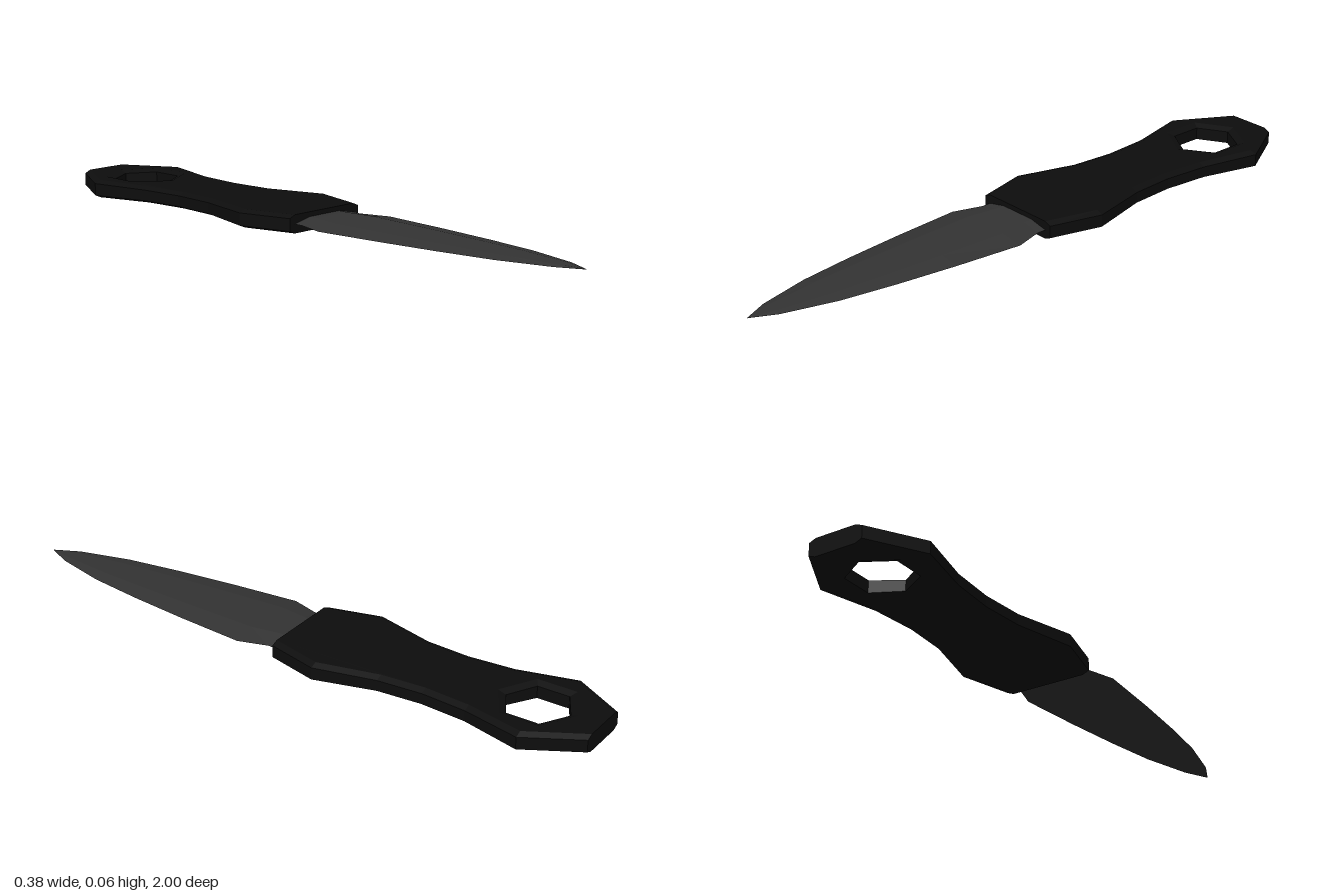
import * as THREE from 'three';

const MID = 0.0285; // height of the middle plane

function meshFrom(positions, color, name) {
  const geo = new THREE.BufferGeometry();
  geo.setAttribute('position', new THREE.Float32BufferAttribute(positions, 3));
  geo.computeVertexNormals();
  const mesh = new THREE.Mesh(geo, new THREE.MeshStandardMaterial({ color, flatShading: true }));
  mesh.name = name;
  return mesh;
}

// Join two matching rings of [x, y, z] with quads
function bridge(out, low, high) {
  low.forEach((a, i) => {
    const j = (i + 1) % low.length;
    out.push(...a, ...high[i], ...low[j], ...low[j], ...high[i], ...high[j]);
  });
}

// Flat handle: waisted outline, chamfered long sides, hexagonal hole
function makeHandle() {
  const half = [[0.09, -1], [0.188, -0.83], [0.143, -0.64], [0.131, -0.49],
    [0.141, -0.345], [0.191, -0.15], [0.147, 0.02]];
  const outline = (inset) => [
    ...half.map(([x, z]) => new THREE.Vector2(x - inset, z)),
    ...half.slice().reverse().map(([x, z]) => new THREE.Vector2(inset - x, z)),
  ];
  const hexagon = (r) => Array.from({ length: 6 }, (_, i) => {
    const a = -i * Math.PI / 3;
    return new THREE.Vector2(Math.sin(a) * r, -0.795 - Math.cos(a) * r).setX(-Math.sin(a) * r);
  });
  // The grip is slightly thinner at the waist
  const halfThickness = (z) => (z > -0.7 && z < -0.3 ? 0.0262 : MID);
  const place = (pts, side, drop) => pts.map((p) => [p.x, MID + side * (halfThickness(p.y) - drop), p.y]);

  const out = [];
  const wall = (face, body) => {
    const rings = [place(face, -1, 0), place(body, -1, 0.009), place(body, 1, 0.009), place(face, 1, 0)];
    for (let i = 0; i < 3; i++) bridge(out, rings[i], rings[i + 1]);
  };
  const face = outline(0.022);
  const rim = hexagon(0.13);
  if (THREE.ShapeUtils.isClockWise(rim) === false) rim.reverse();
  const bore = hexagon(0.104);
  if (THREE.ShapeUtils.isClockWise(bore) === false) bore.reverse();
  wall(face, outline(0));
  wall(rim, bore);

  // Top and bottom faces
  const tris = THREE.ShapeUtils.triangulateShape(face, [rim]);
  const all = [...face, ...rim];
  const top = place(all, 1, 0);
  const bottom = place(all, -1, 0);
  for (const [a, b, c] of tris) {
    out.push(...bottom[a], ...bottom[b], ...bottom[c]);
    out.push(...top[a], ...top[c], ...top[b]);
  }
  return meshFrom(out, 0x0d0d0d, 'handle');
}

// Double-edged blade lofted from six-sided sections: z, half width, half thickness
function makeBlade() {
  const sections = [[-0.05, 0.128, 0.014], [0.05, 0.126, 0.0135], [0.145, 0.155, 0.0125],
    [0.37, 0.135, 0.0105], [0.57, 0.112, 0.0085], [0.75, 0.085, 0.0065],
    [0.92, 0.04, 0.004], [1, 0.001, 0.0005]];
  const rings = sections.map(([z, w, t]) =>
    [[1, 0], [0.5, 1], [-0.5, 1], [-1, 0], [-0.5, -1], [0.5, -1]].map(([x, y]) => [x * w, MID + y * t, z]));
  const out = [];
  for (let i = 0; i < rings.length - 1; i++) {
    bridge(out, rings[i].slice().reverse(), rings[i + 1].slice().reverse());
  }
  // Close the hidden root and the tip
  const root = rings[0];
  const tip = rings[rings.length - 1];
  for (let i = 1; i < 5; i++) {
    out.push(...root[0], ...root[i + 1], ...root[i]);
    out.push(...tip[0], ...tip[i], ...tip[i + 1]);
  }
  return meshFrom(out, 0x333333, 'blade');
}

export function createModel() {
  const model = new THREE.Group();
  model.name = 'knife';
  model.add(makeHandle(), makeBlade());
  return model;
}
